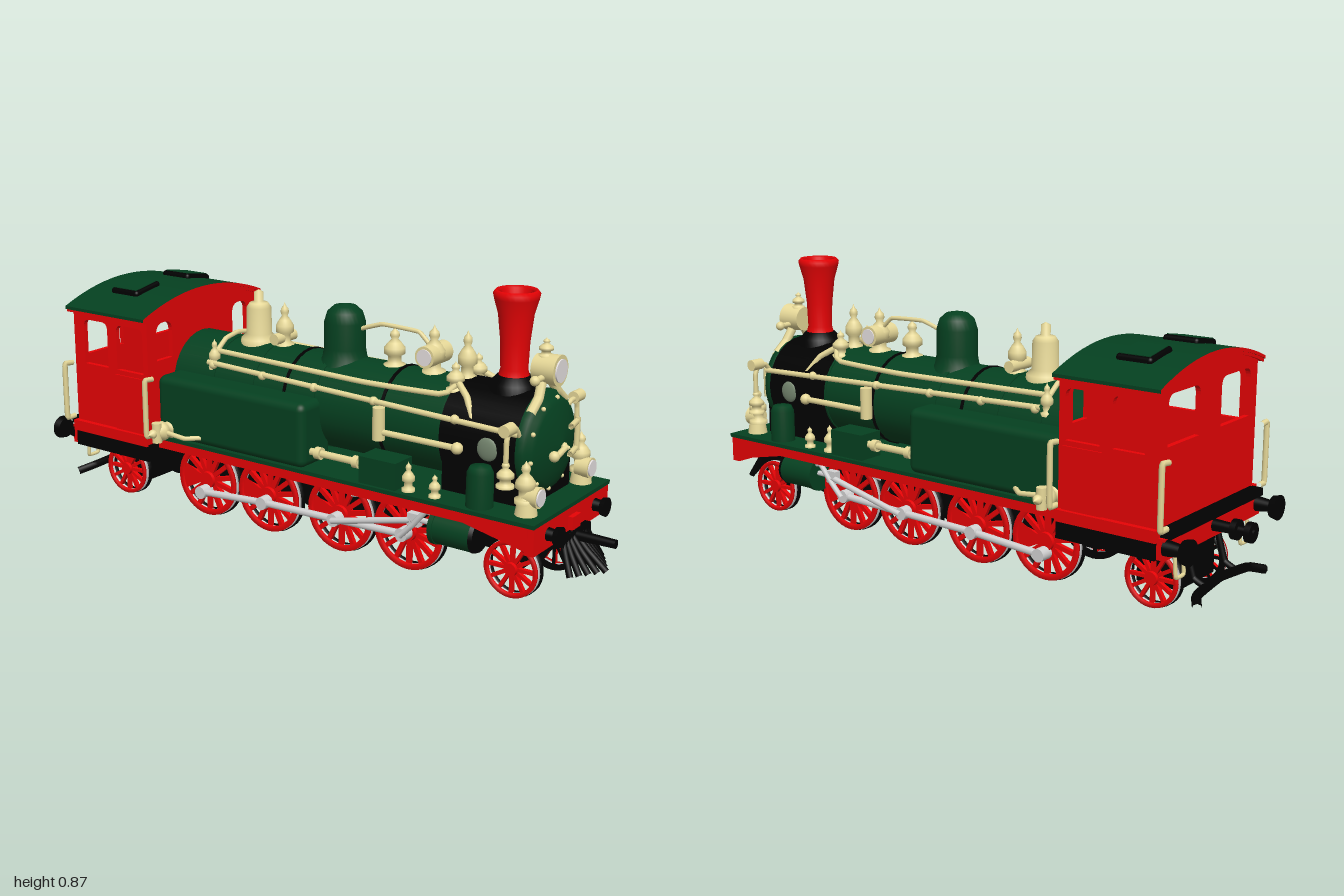
import * as THREE from 'three';
import { RoundedBoxGeometry } from 'three/addons/geometries/RoundedBoxGeometry.js';

const mat = (name, color, side = THREE.FrontSide) => new THREE.MeshStandardMaterial({ name, color, side });
const V = (x, y, z) => new THREE.Vector3(x, y, z);

export function createModel() {
  const loco = new THREE.Group();
  loco.name = 'steamLocomotive';
  const green = mat('green', 0x054020, THREE.DoubleSide), red = mat('red', 0xfd0306), black = mat('black', 0x010101);
  const brass = mat('brass', 0xe6d898), steel = mat('steel', 0xd2d2d2), lens = mat('lens', 0xf4eeee), sage = mat('sage', 0x75866f);

  // Helpers
  const add = (name, m, geo, x = 0, y = 0, z = 0, parent = loco) => {
    const mesh = new THREE.Mesh(geo, m);
    mesh.name = name;
    mesh.position.set(x, y, z);
    parent.add(mesh);
    return mesh;
  };
  // box given by its limits
  const box = (name, m, x0, x1, y0, y1, z0, z1) => add(name, m,
    new THREE.BoxGeometry(x1 - x0, y1 - y0, z1 - z0), (x0 + x1) / 2, (y0 + y1) / 2, (z0 + z1) / 2);
  const turn = (mesh, axis) => {
    if (axis === 'z') mesh.rotation.x = Math.PI / 2;
    if (axis === 'x') mesh.rotation.z = -Math.PI / 2;
    return mesh;
  };
  const cyl = (name, m, axis, rEnd, rStart, len, x, y, z, parent = loco) =>
    turn(add(name, m, new THREE.CylinderGeometry(rEnd, rStart, len, 28), x, y, z, parent), axis);
  // lathe from [radius, height] pairs, listed upwards
  const lathe = (name, m, axis, pts, x, y, z) =>
    turn(add(name, m, new THREE.LatheGeometry(pts.map(p => new THREE.Vector2(...p)), 28), x, y, z), axis);
  const tube = (name, m, r, ...pts) => add(name, m, new THREE.TubeGeometry(
    new THREE.CatmullRomCurve3(pts, false, 'catmullrom', 0.15), pts.length * 8, r, 8));
  const ball = (name, m, r, x, y, z) => add(name, m, new THREE.SphereGeometry(r, 16, 12), x, y, z);
  const finial = (name, x, y, z, h, r) => lathe(name, brass, 'y', [[1, 0], [1, .1], [.6, .15], [.6, .3], [.95, .36],
    [.95, .5], [.6, .62], [.3, .7], [.45, .78], [.4, .86], [.15, .92], [0, 1]].map(p => [p[0] * r, p[1] * h]), x, y, z);
  const sides = f => [-1, 1].forEach(f);

  // Boiler, smokebox, door
  cyl('boiler', green, 'z', .148, .148, 1.04, 0, .44, -.01);
  cyl('smokebox', black, 'z', .153, .153, .25, 0, .44, .625);
  for (const z of [.5, .04, -.2, -.36]) cyl('boilerBand', green, 'z', .151, .151, .014, 0, .44, z);
  for (const z of [.29, -.07]) cyl('blackBand', black, 'z', .1515, .1515, .01, 0, .44, z);
  box('smokeboxSaddle', black, -.13, .13, .27, .38, .5, .78);
  lathe('smokeboxDoor', green, 'z', [[.152, 0], [.155, .012], [.152, .028], [.138, .032], [.132, .045], [.115, .05],
    [.075, .066], [0, .075]], 0, .44, .745);
  for (let i = 0; i < 10; i++) {
    const a = i * Math.PI / 5 + .2;
    ball('doorBolt', brass, .007, Math.cos(a) * .133, .44 + Math.sin(a) * .133, .788);
  }
  for (const y of [.4, .483]) tube('doorHinge', brass, .009, V(.045, y, .82), V(.12, y, .805));
  tube('hingePin', brass, .009, V(.112, .39, .808), V(.112, .495, .808));
  finial('doorKnob', 0, .435, .81, .035, .014).rotation.x = Math.PI / 2;
  tube('doorHandle', brass, .009, V(0, .435, .83), V(-.06, .42, .83));
  ball('doorHandleEnd', brass, .016, -.06, .422, .825);
  sides(s => add('smokeboxHatch', sage, new THREE.SphereGeometry(.035, 16, 10), s * .149, .435, .66).scale.set(.28, 1, 1));

  // Chimney and domes
  lathe('chimney', red, 'y', [[.06, 0], [.048, .03], [.04, .06], [.043, .14], [.052, .22], [.065, .265],
    [.068, .28], [.06, .29], [.045, .285], [.036, .2], [.03, .06]], 0, .58, .655);
  lathe('chimneySaddle', black, 'y', [[.075, 0], [.068, .025], [.05, .045], [.04, .048]], 0, .575, .655);
  cyl('chimneyBore', black, 'y', .036, .036, .01, 0, .77, .655);
  lathe('steamDome', green, 'y', [[.085, 0], [.07, .03], [.065, .06], [.065, .14], [.055, .172], [.035, .19], [0, .197]], 0, .555, .06);
  lathe('safetyValve', brass, 'y', [[.06, 0], [.058, .02], [.042, .035], [.04, .12], [.03, .135], [.015, .14], [.015, .17], [0, .178]], 0, .575, -.28);
  finial('whistle', 0, .575, -.175, .15, .03);
  finial('sandValve', 0, .575, .245, .13, .034);
  finial('gaugeColumn', 0, .575, .385, .155, .036);
  finial('frontValve', 0, .575, .5, .155, .03);
  cyl('whistleCrossbar', brass, 'x', .018, .018, .1, 0, .61, -.18);
  cyl('gaugeBody', brass, 'x', .033, .033, .11, 0, .64, .385);
  tube('domePipe', brass, .007, V(0, .66, .375), V(0, .7, .33), V(0, .705, .2), V(0, .68, .12));
  tube('crossPipe', brass, .008, V(-.115, .55, -.37), V(-.06, .59, -.37), V(0, .6, -.37), V(.06, .59, -.37), V(.115, .55, -.37));
  sides(s => {
    cyl('gaugeDial', lens, 'x', .025, .025, .006, s * .056, .64, .385);
    finial('boilerValve', s * .065, .56, .5, .09, .028);
    finial('railEndValve', s * .118, .5, -.37, .1, .02);
    tube('valveFeed', brass, .01, V(s * .065, .6, .5), V(s * .1, .56, .56), V(s * .13, .5, .6));
  });

  // Headlamp
  cyl('headlamp', brass, 'z', .046, .04, .075, 0, .655, .765);
  cyl('headlampLens', lens, 'z', .034, .034, .006, 0, .655, .804);
  finial('headlampTop', 0, .69, .755, .055, .022);
  cyl('headlampAxle', brass, 'x', .009, .009, .17, 0, .637, .765);
  sides(s => {
    ball('headlampKnob', brass, .015, s * .08, .637, .765);
    tube('headlampBracket', brass, .015, V(s * .03, .62, .76), V(s * .055, .58, .765), V(s * .1, .545, .765));
  });

  // Running boards, beams and frame
  box('runningBoard', red, -.233, .233, .235, .265, -.52, .84);
  box('runningBoardTop', green, -.236, .236, .265, .277, -.52, .862);
  box('frontBeam', red, -.23, .23, .182, .265, .83, .86);
  const skirt = new THREE.Shape([[.84, .24], [.6, .24], [.84, .19]].map(p => new THREE.Vector2(...p)));
  sides(s => {
    const m = add('beamSkirt', red, new THREE.ExtrudeGeometry(skirt, { depth: .015, bevelEnabled: false }), s * .222 + .0075, 0, 0);
    m.rotation.y = -Math.PI / 2;
  });
  box('mainFrame', black, -.1, .1, .12, .24, -.55, .66);
  box('frontFrame', black, -.1, .1, .17, .24, .66, .83);
  box('rearFrame', black, -.283, .283, .198, .255, -.845, -.52);
  box('rearTruck', black, -.1, .1, .055, .2, -.82, -.68);
  box('rearBeam', red, -.275, .275, .2, .262, -.87, -.845);
  box('rearStep', black, -.265, .265, .262, .285, -.885, -.84);

  // Side tanks and fittings on the running boards
  sides(s => {
    add('sideTank', green, new RoundedBoxGeometry(.15, .205, .59, 4, .025), s * .16, .378, -.225);
    box('toolBox', green, s * .18 - .045, s * .18 + .045, .277, .36, .27, .4);
    lathe('airReservoir', green, 'y', [[.04, 0], [.039, .1], [.03, .118], [0, .123]], s * .185, .277, .66);
    finial('oiler', s * .2, .277, .43, .09, .02);
    finial('oiler', s * .2, .277, .52, .07, .018);
    tube('tankPipe', brass, .012, V(s * .19, .325, .28), V(s * .19, .325, .06));
    for (const z of [.1, .24]) cyl('pipeCollar', brass, 'z', .019, .019, .02, s * .19, .325, z);
    tube('steamPipe', brass, .01, V(s * .165, .425, .58), V(s * .165, .425, .3));
    cyl('pumpBody', brass, 'y', .019, .019, .1, s * .165, .45, .3);
    ball('steamPipeEnd', brass, .018, s * .165, .425, .57);
    tube('lowerRail', brass, .009, V(s * .155, .497, .76), V(s * .152, .51, .3), V(s * .15, .53, -.37));
    tube('upperRail', brass, .009, V(s * .06, .6, .52), V(s * .1, .555, .48), V(s * .112, .55, .2), V(s * .108, .56, -.37));
    for (const z of [.55, .27, .05, -.15, -.35]) ball('railKnob', brass, .014, s * .149, .505 + (.5 - z) * .022, z);
    // curved pipe beside the smokebox
    tube('frontPipe', brass, .008, V(s * .14, .49, .755), V(s * .165, .52, .755), V(s * .2, .52, .755), V(s * .212, .49, .755), V(s * .212, .38, .755));
    cyl('frontPipeElbow', brass, 'x', .018, .018, .045, s * .208, .525, .755);
    finial('frontPipeValve', s * .212, .36, .755, .08, .026);
    // marker lamps
    cyl('lampBase', brass, 'y', .025, .033, .05, s * .168, .3, .8);
    finial('lampTop', s * .168, .31, .795, .125, .03);
    cyl('lampBody', brass, 'z', .031, .028, .045, s * .158, .33, .815);
    cyl('lampLens', lens, 'z', .025, .025, .006, s * .158, .33, .839);
    // injector beside the cab
    turn(finial('injector', s * .22, .308, -.475, .11, .033), 'x').rotation.z *= s;
    cyl('injectorBody', brass, 'y', .016, .016, .065, s * .288, .308, -.475);
    tube('injectorPipe', brass, .008, V(s * .27, .31, -.47), V(s * .265, .3, -.38), V(s * .23, .3, -.34));
    // cylinder block
    cyl('cylinder', green, 'z', .053, .053, .135, s * .165, .178, .578);
    cyl('cylinderCover', green, 'z', .056, .056, .015, s * .165, .178, .515);
    cyl('cylinderEnd', black, 'z', .05, .055, .012, s * .165, .178, .65);
  });

  // Cab walls with window openings
  const pane = (u0, u1, y0, y1, r) => {
    const p = new THREE.Path();
    p.moveTo(u0, y0); p.lineTo(u1, y0); p.lineTo(u1, y1 - r); p.quadraticCurveTo(u1, y1, u1 - r, y1);
    p.lineTo(u0 + r, y1); p.quadraticCurveTo(u0, y1, u0, y1 - r); p.closePath();
    return p;
  };
  const wall = (name, pts, panes) => {
    const s = new THREE.Shape(pts.map(p => new THREE.Vector2(...p)));
    s.holes.push(...panes);
    return add(name, red, new THREE.ExtrudeGeometry(s, { depth: .016, bevelEnabled: false, curveSegments: 6 }));
  };
  const roofY = x => .73 - .06 * (x / .295) ** 2;
  const arc = (w, dy, n = 16) => Array.from({ length: n + 1 }, (_, i) => w - 2 * w * i / n).map(x => [x, roofY(x) + dy]);
  const endPts = [[-.27, .255], [.27, .255], ...arc(.27, -.01)];
  wall('cabFront', endPts, [pane(-.228, -.152, .525, .648, .035), pane(.152, .228, .525, .648, .035)]).position.z = -.536;
  wall('cabBack', endPts, [pane(-.232, -.06, .505, .65, .03), pane(.06, .232, .505, .65, .03)]).position.z = -.845;
  sides(s => {
    const m = wall('cabSide', [[-.845, .255], [-.52, .255], [-.52, .67], [-.845, .67]],
      [pane(-.655, -.54, .485, .635, .025), pane(-.8, -.695, .485, .635, .025)]);
    m.rotation.y = -Math.PI / 2;
    m.position.x = s * .264 + .008;
    box('cabDoorPanel', red, s * .274 - .003, s * .274 + .003, .28, .47, -.665, -.535);
    box('cabSill', red, s * .275 - .015, s * .275 + .015, .25, .285, -.85, -.52);
    // grab rails
    for (const z of [-.51, -.87]) tube('cabGrabRail', brass, .009, V(s * .265, .475, z), V(s * .298, .478, z),
      V(s * .3, .46, z), V(s * .3, .32, z), V(s * .298, .29, z), V(s * .265, .29, z));
    tube('rearStirrup', brass, .006, V(s * .208, .2, -.865), V(s * .208, .135, -.87), V(s * .165, .135, -.87), V(s * .165, .2, -.865));
  });
  box('cabFloor', black, -.26, .26, .262, .28, -.83, -.53);

  // Curved roof, red at its ends and underside, with hatches
  const roofLayer = (name, m, w, top, bottom, z, depth) => add(name, m, new THREE.ExtrudeGeometry(
    new THREE.Shape([...arc(w, top), ...arc(w, bottom).reverse()].map(p => new THREE.Vector2(...p))),
    { depth, bevelEnabled: false }), 0, 0, z);
  roofLayer('roof', [red, green], .296, .006, -.004, -.857, .346);
  roofLayer('roofLining', red, .292, -.004, -.014, -.854, .341);
  sides(s => {
    const hatch = new THREE.Group();
    hatch.name = 'roofHatch';
    hatch.position.set(s * .125, .727, -.7);
    hatch.rotation.z = -s * .17;
    loco.add(hatch);
    add('hatchFrame', black, new RoundedBoxGeometry(.118, .024, .118, 3, .011), 0, 0, 0, hatch);
    add('hatchLid', green, new THREE.BoxGeometry(.098, .006, .098), 0, .011, 0, hatch);
  });

  // Wheels: black tyres and backs, steel treads, red outer faces; outer face along +x
  const ring = (ro, ri, x0, x1) => new THREE.LatheGeometry([[ri, x0], [ro, x0], [ro, x1], [ri, x1], [ri, x0]]
    .map(p => new THREE.Vector2(...p)), 36);
  const wheel = (s, z, r, spokes, driver) => {
    const g = new THREE.Group();
    g.name = driver ? 'drivingWheel' : 'carryingWheel';
    g.position.set(s * .113, r, z);
    if (s < 0) g.rotation.y = Math.PI;
    loco.add(g);
    turn(add('tyreFlange', black, ring(r, r * .84, 0, .016), 0, 0, 0, g), 'x');
    turn(add('tread', steel, ring(r * .975, r * .84, .015, .027), 0, 0, 0, g), 'x');
    turn(add('rim', red, ring(r * .965, r * .82, .026, .034), 0, 0, 0, g), 'x');
    cyl('hub', [red, red, black], 'x', r * .22, r * .26, .034, .02, 0, 0, g);
    for (let i = 0; i < spokes; i++) {
      const a = i * 2 * Math.PI / spokes;
      add('spoke', [red, black, red, red, red, red], new THREE.BoxGeometry(.014, r * .7, r * .12),
        .02, Math.cos(a) * r * .52, Math.sin(a) * r * .52, g).rotation.x = a;
    }
    if (driver) turn(add('counterweight', [red, red, black],
      new THREE.CylinderGeometry(r * .85, r * .85, .022, 12, 1, false, -.45, .9), .02, 0, 0, g), 'x');
  };
  const drivers = [.395, .145, -.135, -.39];
  sides(s => {
    drivers.forEach(z => wheel(s, z, .124, 14, true));
    wheel(s, .745, .09, 12, false);
    wheel(s, -.755, .09, 12, false);
    // rods and valve gear
    const pinY = [.125, .115, .108, .09];
    drivers.forEach((z, i) => {
      cyl('crankPin', steel, 'x', .021, .021, .045, s * .163, pinY[i], z);
      if (i) tube('couplingRod', steel, .012, V(s * .17, pinY[i - 1], drivers[i - 1]), V(s * .17, pinY[i], z));
    });
    tube('pistonRod', steel, .009, V(s * .175, .185, .52), V(s * .175, .185, .43));
    box('crosshead', steel, s * .178 - .012, s * .178 + .012, .165, .205, .42, .46);
    tube('mainRod', steel, .01, V(s * .188, .185, .44), V(s * .188, .115, .145));
    tube('valveLink', steel, .009, V(s * .19, .23, .49), V(s * .19, .17, .44), V(s * .19, .125, .395));
    tube('valveRod', steel, .006, V(s * .185, .215, .51), V(s * .185, .235, .35), V(s * .185, .215, .22));
  });
  [...drivers.map(z => [z, .124]), [.745, .09], [-.755, .09]].forEach(([z, r]) => cyl('axle', black, 'x', .018, .018, .23, 0, r, z));

  // Buffers and couplings
  sides(s => {
    cyl('frontBufferStem', black, 'z', .016, .02, .03, s * .145, .225, .872);
    cyl('frontBuffer', black, 'z', .029, .026, .015, s * .145, .225, .892);
    cyl('rearBufferStem', black, 'z', .024, .016, .06, s * .26, .235, -.895);
    cyl('rearBuffer', black, 'z', .033, .038, .022, s * .26, .235, -.932);
  });
  box('frontCouplerPlate', red, -.025, .025, .2, .24, .86, .875);
  cyl('frontCoupler', black, 'z', .013, .016, .13, 0, .18, .935);
  cyl('rearCoupler', black, 'z', .018, .012, .13, 0, .235, -.935);
  for (const z of [-.94, -.985]) cyl('rearCouplerDisc', black, 'z', .03, .03, .018, 0, .235, z);

  // Fan-shaped pilot and rear guard bar
  for (let i = -4; i <= 4; i++) tube('pilotBar', black, .01, V(i * .017, .19, .865), V(i * .021, .14, .915 - Math.abs(i) * .007),
    V(i * .025, .09, .975 - Math.abs(i) * .016));
  box('pilotTop', black, -.085, .085, .165, .195, .855, .88);
  tube('rearGuardBar', black, .014, V(-.2, .06, -.935), V(-.15, .075, -.905), V(0, .085, -.895), V(.15, .075, -.905), V(.2, .06, -.935));
  sides(s => tube('rearGuardArm', black, .01, V(s * .09, .2, -.83), V(s * .09, .1, -.86), V(s * .09, .08, -.9)));
  return loco;
}
